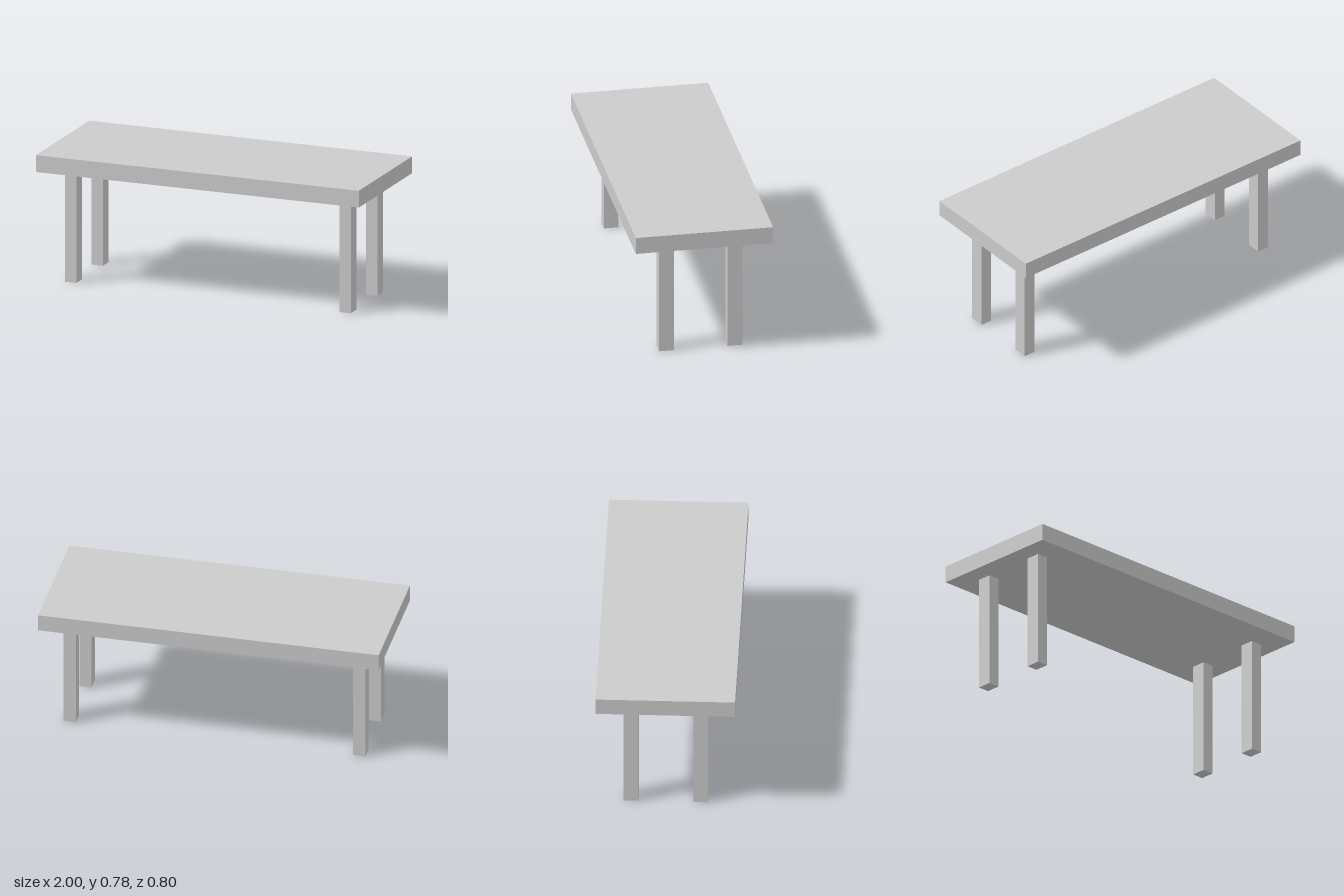
import * as THREE from 'three';

export function createModel() {
  const group = new THREE.Group();
  const material = new THREE.MeshStandardMaterial({ color: 0xcccccc, flatShading: true });

  const addBox = (name, w, h, d, x, y, z) => {
    const mesh = new THREE.Mesh(new THREE.BoxGeometry(w, h, d), material);
    mesh.name = name;
    mesh.position.set(x, y, z);
    group.add(mesh);
  };

  const legHeight = 0.68, topThickness = 0.1;

  // Table top
  addBox('tableTop', 2, topThickness, 0.8, 0, legHeight + topThickness / 2, 0);

  // Four legs, set in from the corners
  for (const [end, z] of [['front', 0.2], ['back', -0.2]]) {
    for (const [side, x] of [['Left', 0.85], ['Right', -0.85]]) {
      addBox(`${end}${side}Leg`, 0.071, legHeight, 0.086, x, legHeight / 2, z);
    }
  }

  return group;
}
